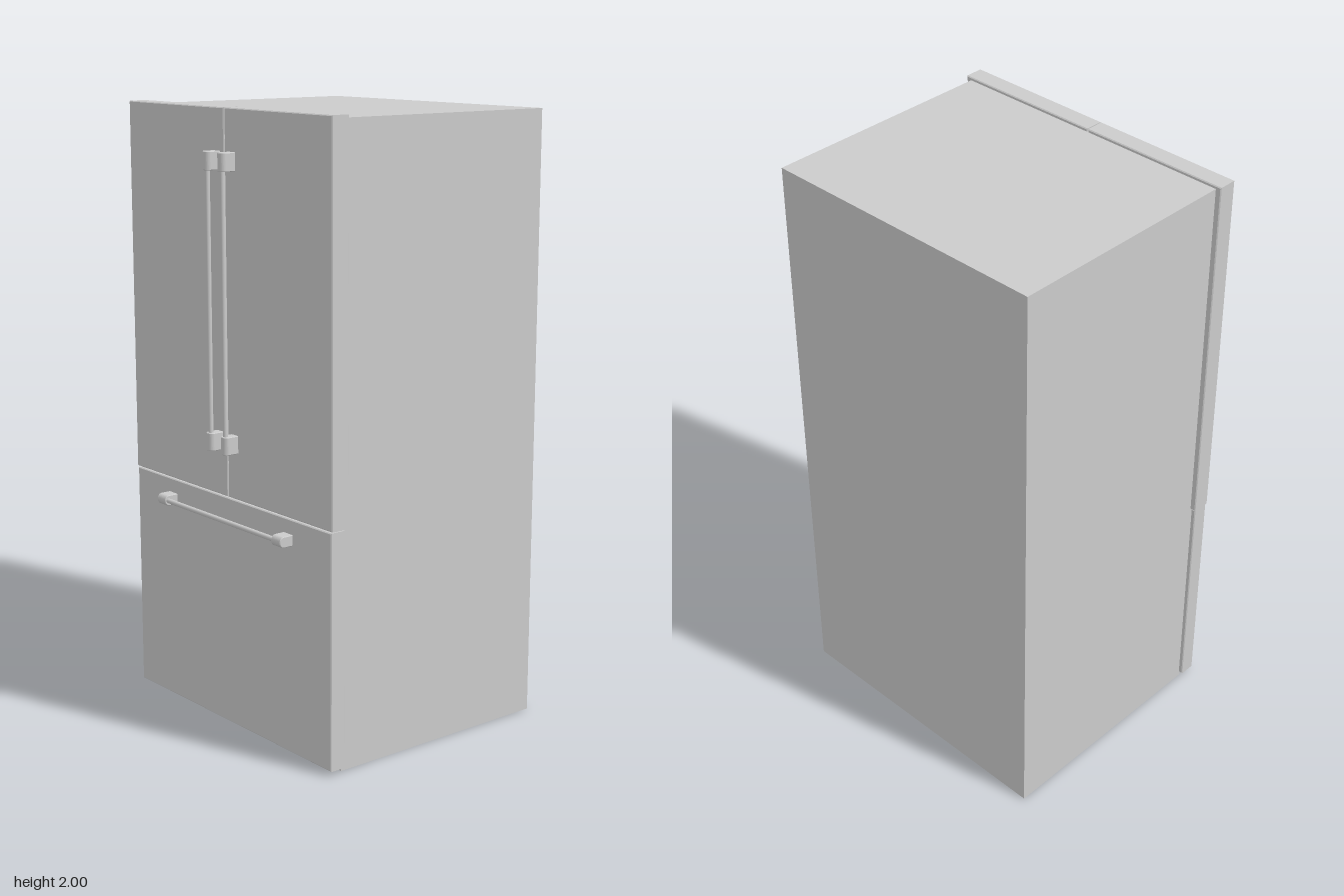
import * as THREE from 'three';

const material = new THREE.MeshStandardMaterial({ color: 0xcccccc });

function add(parent, name, geometry) {
  const mesh = new THREE.Mesh(geometry, material);
  mesh.name = name;
  parent.add(mesh);
  return mesh;
}

// Box given by its minimum and maximum corners
function box(parent, name, [x0, y0, z0], [x1, y1, z1]) {
  const mesh = add(parent, name, new THREE.BoxGeometry(x1 - x0, y1 - y0, z1 - z0));
  mesh.position.set((x0 + x1) / 2, (y0 + y1) / 2, (z0 + z1) / 2);
  return mesh;
}

// Flat panel with a fine chamfer around its edges
function panel(parent, name, x0, x1, y0, y1, z0, z1) {
  const c = 0.003;
  const shape = new THREE.Shape([
    new THREE.Vector2(x0 + c, y0 + c), new THREE.Vector2(x1 - c, y0 + c),
    new THREE.Vector2(x1 - c, y1 - c), new THREE.Vector2(x0 + c, y1 - c),
  ]);
  const geometry = new THREE.ExtrudeGeometry(shape, {
    depth: z1 - z0 - 2 * c, bevelThickness: c, bevelSize: c, bevelSegments: 1,
  });
  add(parent, name, geometry.translate(0, 0, z0 + c));
}

// Upright bar handle: a round rod between two round-nosed brackets
function handle(name, length, bracketLength) {
  const group = new THREE.Group();
  group.name = name;
  const w = 0.0175, c = 0.002;
  // Bracket section: x across, y out from the door
  const section = new THREE.Shape();
  section.moveTo(-w + c, -0.002);
  section.lineTo(w - c, -0.002);
  section.lineTo(w - c, 0.034);
  section.absellipse(0, 0.034, w - c, 0.013, 0, Math.PI, false);
  section.closePath();
  for (const side of [-1, 1]) {
    const geometry = new THREE.ExtrudeGeometry(section, {
      depth: bracketLength - 2 * c, bevelThickness: c, bevelSize: c,
      bevelSegments: 1, curveSegments: 10,
    });
    geometry.translate(0, 0, c - bracketLength / 2);
    // Turn the section so it points forward and runs upright
    geometry.rotateX(Math.PI / 2).scale(1, 1, 1);
    const bracket = add(group, 'handleBracket', geometry);
    bracket.position.y = side * (length - bracketLength) / 2;
  }
  const rod = add(group, 'handleRod',
    new THREE.CylinderGeometry(0.008, 0.008, length - bracketLength, 20));
  rod.position.z = 0.036;
  return group;
}

export function createModel() {
  const model = new THREE.Group();
  model.name = 'refrigerator';
  const front = 0.405;

  box(model, 'cabinet', [-0.503, 0, -0.455], [0.503, 1.99, 0.353]);
  panel(model, 'freezerDrawer', -0.517, 0.517, 0.015, 0.773, 0.348, front);

  // Pair of doors with their upright handles
  for (const side of [-1, 1]) {
    const label = side > 0 ? 'left' : 'right';
    const xs = [side * 0.002, side * 0.522].sort((a, b) => a - b);
    panel(model, label + 'Door', xs[0], xs[1], 0.777, 2, 0.341, front);
    const doorHandle = handle(label + 'DoorHandle', 0.94, 0.058);
    doorHandle.position.set(side * 0.039, 1.398, front);
    model.add(doorHandle);
  }

  // Drawer handle lies across the front
  const drawerHandle = handle('drawerHandle', 0.664, 0.046);
  drawerHandle.rotation.z = Math.PI / 2;
  drawerHandle.position.set(0, 0.709, front);
  model.add(drawerHandle);

  return model;
}
